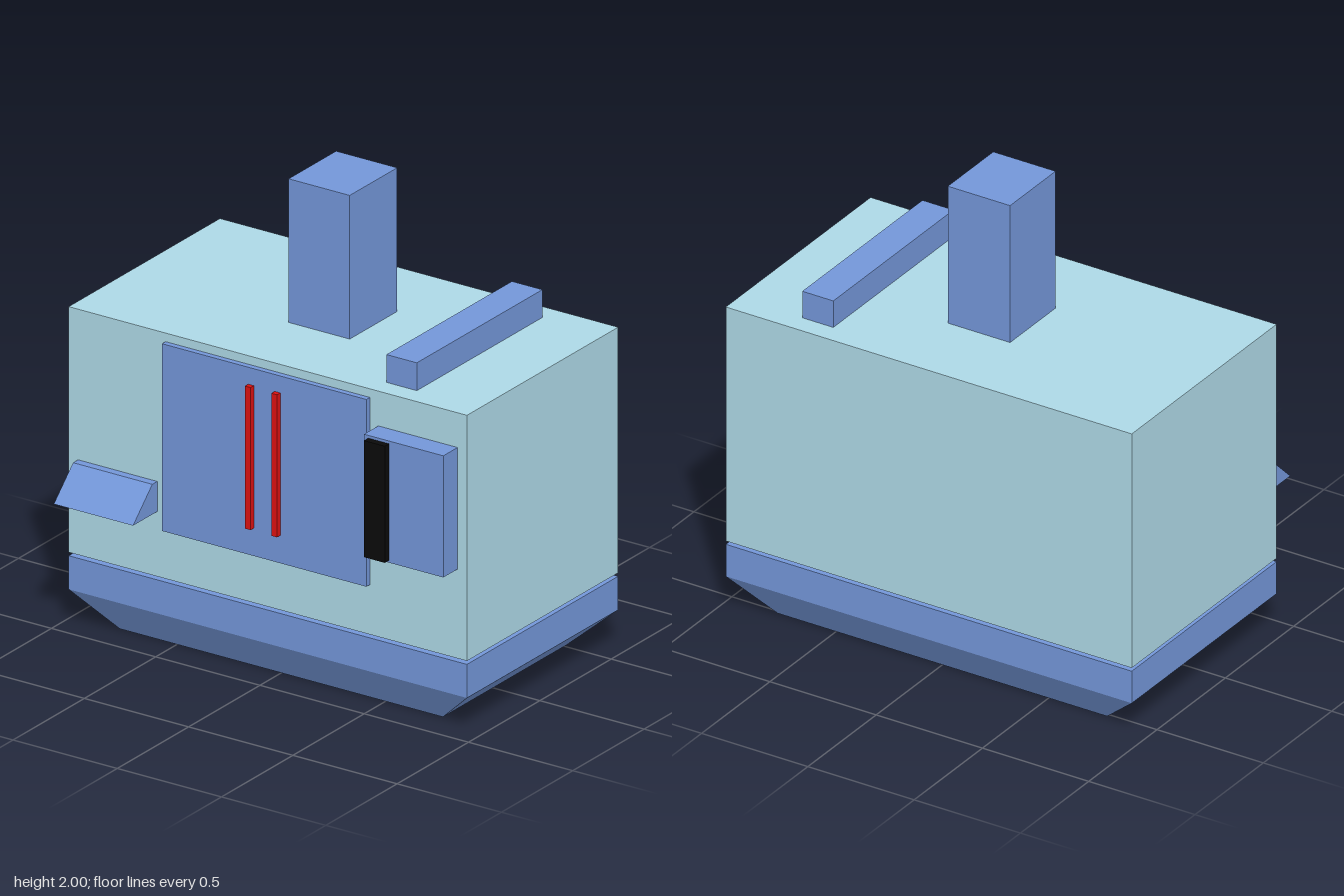
import * as THREE from 'three';

const paint = (color) => new THREE.MeshStandardMaterial({ color, flatShading: true });

export function createModel() {
  const model = new THREE.Group();
  model.name = 'furnace';
  const paleBlue = paint(0xadd8e6);
  const blue = paint(0x7396d8);
  const red = paint(0xdd1111);
  const black = paint(0x0a0a0a);

  function add(name, geometry, material) {
    const mesh = new THREE.Mesh(geometry, material);
    mesh.name = name;
    model.add(mesh);
    return mesh;
  }

  // Box given by its extents along each axis
  function box(name, material, [x0, x1], [y0, y1], [z0, z1]) {
    const geometry = new THREE.BoxGeometry(x1 - x0, y1 - y0, z1 - z0);
    geometry.translate((x0 + x1) / 2, (y0 + y1) / 2, (z0 + z1) / 2);
    return add(name, geometry, material);
  }

  const width = [-0.955, 0.955];
  const depth = [-0.615, 0.445];
  const front = depth[1];

  // Main cabinet, floating just above the base rim
  box('cabinet', paleBlue, width, [0.32, 1.38], depth);
  box('baseRim', blue, width, [0.16, 0.305], depth);

  // Tapered foot: a box whose lower corners are drawn inwards
  const foot = box('taperedFoot', blue, width, [0, 0.16], depth);
  const corners = foot.geometry.attributes.position;
  for (let i = 0; i < corners.count; i++) {
    if (corners.getY(i) > 0.08) continue;
    corners.setX(i, Math.sign(corners.getX(i)) * 0.775);
    corners.setZ(i, corners.getZ(i) > 0 ? 0.35 : -0.515);
  }
  foot.geometry.computeVertexNormals();

  // Roof parts
  box('chimney', blue, [-0.148, 0.145], [1.38, 2], [-0.25, 0.083]);
  box('roofBar', blue, [0.507, 0.653], [1.38, 1.5], [-0.525, 0.355]);

  // Double doors with upright handles
  for (const [side, s] of [['left', 1], ['right', -1]]) {
    const span = (a, b) => [s * a, s * b].sort((p, q) => p - q);
    box(side + 'Door', blue, span(0, 0.49), [0.535, 1.343], [front, 0.47]);
    box(side + 'DoorHandle', red, span(0.05, 0.077), [0.655, 1.27], [0.47, 0.493]);
  }

  // Control box with a dark strip
  box('controlBox', blue, [0.53, 0.91], [0.705, 1.23], [front, 0.545]);
  box('controlStrip', black, [0.55, 0.65], [0.715, 1.218], [0.545, 0.575]);

  // Sloped console: side profile drawn as (-z, y), extruded and turned along x
  const profile = new THREE.Shape(
    [[-front, 0.6], [-front, 0.73], [-0.48, 0.73], [-0.615, 0.6]].map(([x, y]) => new THREE.Vector2(x, y))
  );
  const wedge = new THREE.ExtrudeGeometry(profile, { depth: 0.38, bevelEnabled: false });
  wedge.rotateY(Math.PI / 2);
  wedge.translate(-0.91, 0, 0);
  add('slopedConsole', wedge, blue);

  return model;
}
